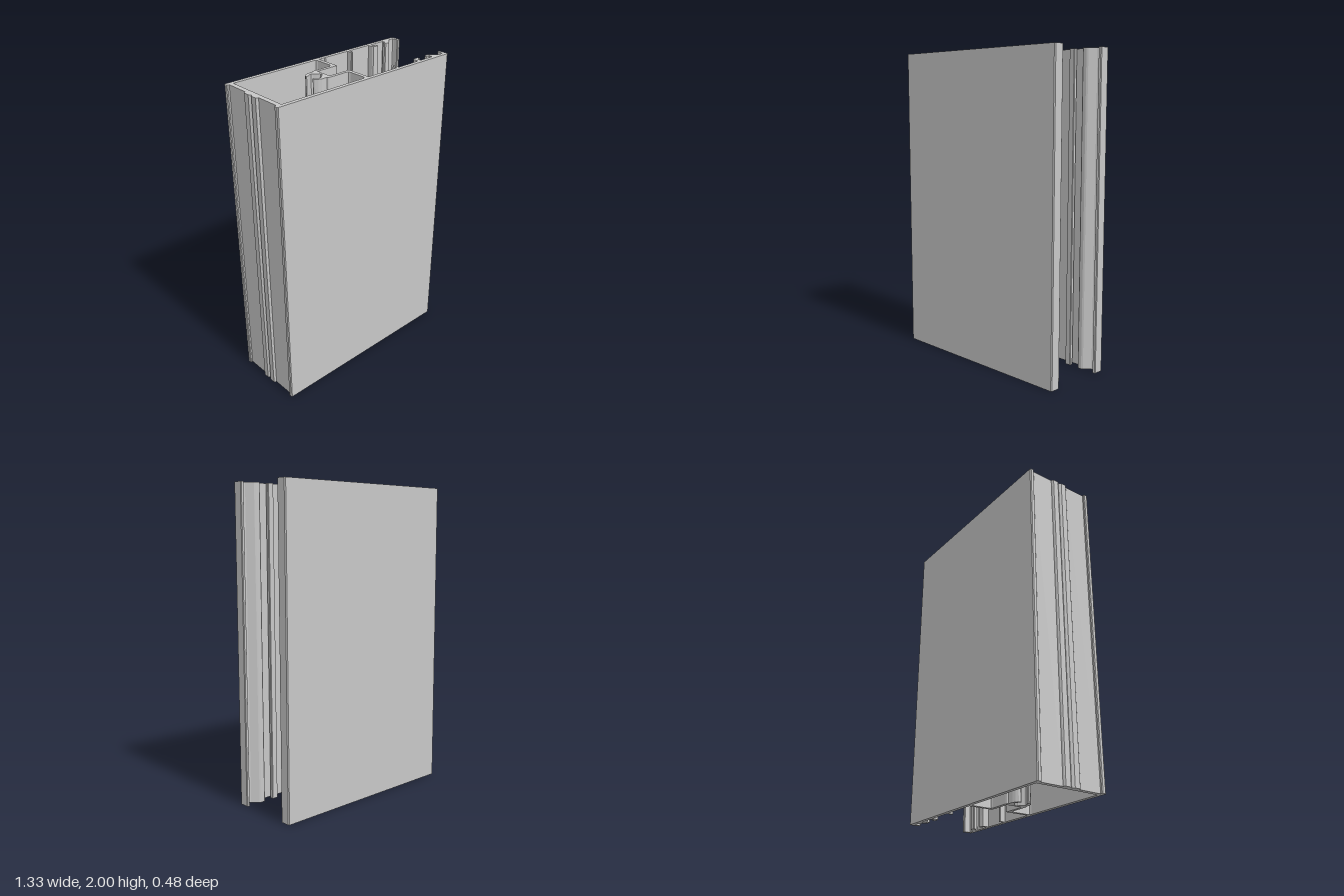
import * as THREE from 'three';

// Half outline of the profile as [x, distance from the centre plane]:
// outer skin from the closed end round to the open end, then back inside to the web.
const OUTER_START = [
  // closed end: notched rib, wall and corner flange
  [-0.655, 0], [-0.667, 0.014], [-0.667, 0.05], [-0.662, 0.055], [-0.652, 0.058],
  [-0.652, 0.209], [-0.662, 0.209], [-0.667, 0.214], [-0.667, 0.232], [-0.662, 0.238],
  // open end lip
  [0.658, 0.238], [0.664, 0.232], [0.664, 0.174], [0.66, 0.169], [0.653, 0.167],
  [0.646, 0.169], [0.642, 0.174], [0.642, 0.205], [0.639, 0.211], [0.632, 0.213],
  // slanted gasket hook
  [0.612, 0.213], [0.604, 0.21], [0.566, 0.172], [0.555, 0.167], [0.53, 0.167],
  [0.524, 0.172], [0.524, 0.188], [0.541, 0.188], [0.546, 0.192], [0.546, 0.213],
  // square gasket hook
  [0.441, 0.213], [0.441, 0.192], [0.445, 0.188], [0.464, 0.188], [0.464, 0.171],
  [0.46, 0.167], [0.432, 0.167], [0.423, 0.17], [0.419, 0.179], [0.419, 0.213],
  // small rib
  [0.252, 0.213], [0.252, 0.178], [0.248, 0.174], [0.24, 0.174], [0.236, 0.178], [0.236, 0.213],
];
const SCORE_LINE = [[0.056, 0.213], [0.05, 0.219], [0.044, 0.213]];
// web and recessed channel
const OUTER_END = [[0.003, 0.213], [0.003, 0.052], [-0.148, 0.052], [-0.148, 0]];

// Half outline of the closed chamber, including the screw-port claw
const CHAMBER = [
  [-0.622, 0], [-0.622, 0.213], [-0.038, 0.213], [-0.026, 0.208], [-0.021, 0.196],
  [-0.021, 0.09], [-0.026, 0.078], [-0.038, 0.073], [-0.163, 0.073], [-0.172, 0.07],
  [-0.178, 0.062], [-0.195, 0.064], [-0.215, 0.063], [-0.235, 0.055], [-0.249, 0.043],
  [-0.255, 0.033], [-0.252, 0.026], [-0.244, 0.024], [-0.236, 0.027], [-0.224, 0.036],
  [-0.208, 0.041], [-0.198, 0.037], [-0.183, 0.023], [-0.17, 0.013], [-0.164, 0.007], [-0.163, 0],
];

// Join the front half (y < 0) to the back half (y > 0) as one closed loop
function closedLoop(frontHalf, backHalf) {
  const front = frontHalf.map(([x, d]) => new THREE.Vector2(x, -d));
  const back = backHalf.filter(([, d]) => d > 0).reverse().map(([x, d]) => new THREE.Vector2(x, d));
  return [...front, ...back];
}

export function createModel() {
  const aluminium = new THREE.MeshStandardMaterial({ color: 0xc7c7c7 });
  aluminium.name = 'aluminium grey';

  // only the back inner face carries the score line
  const section = new THREE.Shape(closedLoop(
    [...OUTER_START, ...OUTER_END],
    [...OUTER_START, ...SCORE_LINE, ...OUTER_END],
  ));
  section.holes.push(new THREE.Path(closedLoop(CHAMBER, CHAMBER)));

  const geometry = new THREE.ExtrudeGeometry(section, { depth: 2, bevelEnabled: false });
  geometry.rotateX(-Math.PI / 2);

  const profile = new THREE.Mesh(geometry, aluminium);
  profile.name = 'extrudedProfile';

  const model = new THREE.Group();
  model.name = 'hollowFrameProfile';
  model.add(profile);
  return model;
}
